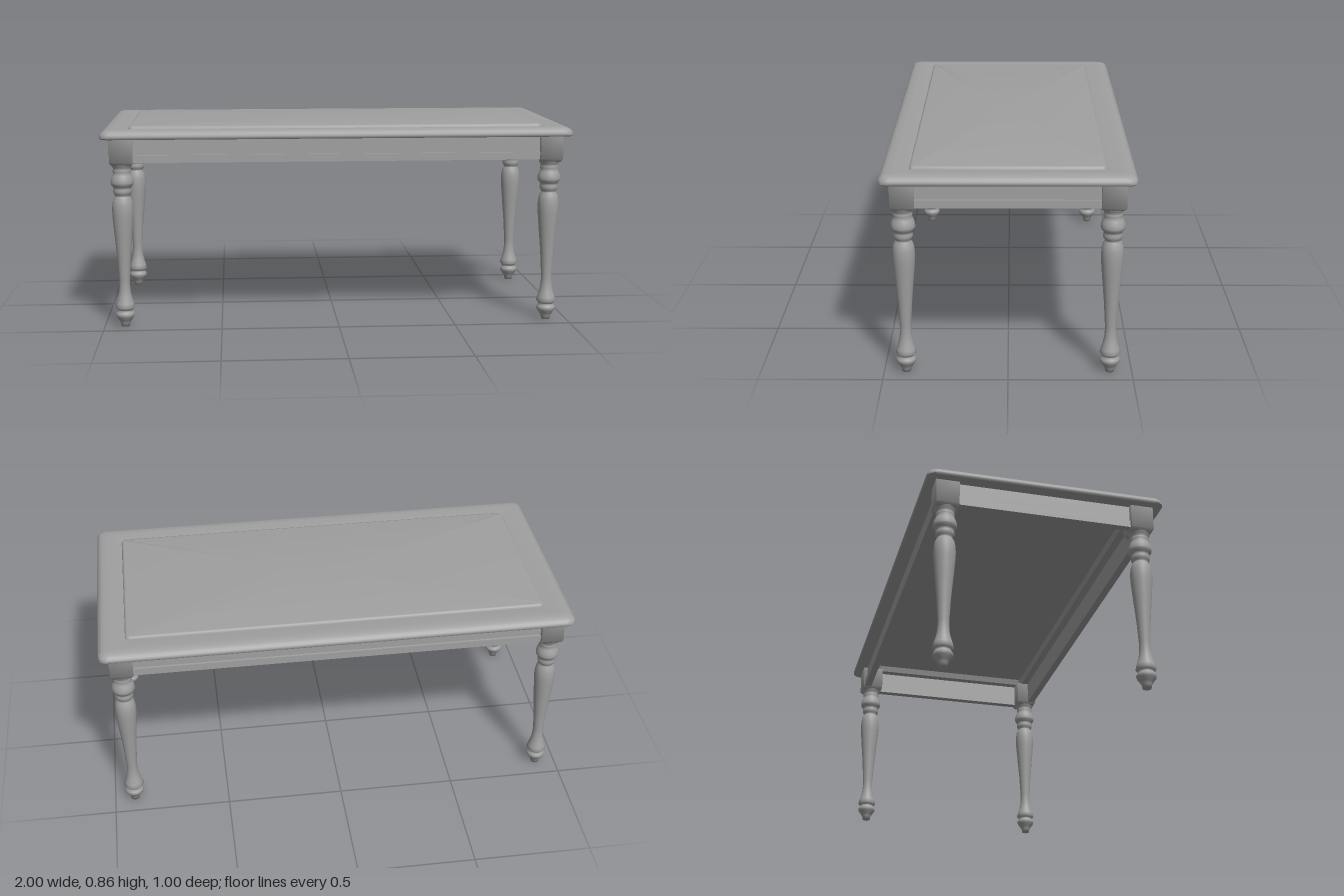
import * as THREE from 'three';
import { toCreasedNormals } from 'three/addons/utils/BufferGeometryUtils.js';

const material = new THREE.MeshStandardMaterial({ color: 0xa0a0a0 });
const LEG_X = 0.913, LEG_Z = 0.411;

function add(parent, name, geometry, x = 0, y = 0, z = 0) {
  const mesh = new THREE.Mesh(geometry, material);
  mesh.name = name;
  mesh.position.set(x, y, z);
  parent.add(mesh);
}

// Stacks rounded rectangles; each section is [halfX, halfZ, y, cornerRadius]
function loft(sections, steps, crease) {
  const positions = [], index = [];
  const n = 4 * (steps + 1);
  for (const [hx, hz, y, r] of sections) {
    for (let c = 0; c < 4; c++) {
      const sx = c === 0 || c === 3 ? 1 : -1, sz = c < 2 ? 1 : -1;
      for (let i = 0; i <= steps; i++) {
        const a = (c + i / steps) * Math.PI / 2;
        positions.push(sx * (hx - r) + r * Math.cos(a), y, sz * (hz - r) + r * Math.sin(a));
      }
    }
  }
  for (let s = 0; s < sections.length - 1; s++) {
    for (let i = 0; i < n; i++) {
      const a = s * n + i, b = s * n + (i + 1) % n;
      index.push(a, a + n, b, b, a + n, b + n);
    }
  }
  const geometry = new THREE.BufferGeometry();
  geometry.setAttribute('position', new THREE.Float32BufferAttribute(positions, 3));
  geometry.setIndex(index);
  return toCreasedNormals(geometry, crease);
}

// Table top: recessed underside, softly rounded rim, groove and raised panel
function tableTop() {
  const profile = [ // inset from the outer edge, height, corner radius
    [0.122, 0.836, 0.015], [0.113, 0.81, 0.02],
    [0.006, 0.81, 0.035], [0, 0.815, 0.04], [0, 0.823, 0.04],
    [0.003, 0.831, 0.038], [0.009, 0.838, 0.035], [0.017, 0.843, 0.03], [0.028, 0.847, 0.026],
    [0.055, 0.849, 0.022], [0.114, 0.843, 0.02],
    [0.116, 0.85, 0.02], [0.119, 0.854, 0.018], [0.125, 0.855, 0.015],
  ];
  const rings = profile.map(([inset, y, r]) => [1 - inset, 0.5 - inset, y, r]);
  return loft([[0, 0, 0.836, 0], ...rings, [0, 0, 0.855, 0]], 6, 0.9);
}

// Turned leg outline: radius, height
const legProfile = [
  [0, 0], [0.018, 0], [0.02, 0.015], [0.028, 0.028], [0.038, 0.042], [0.041, 0.052],
  [0.038, 0.06], [0.03, 0.068], [0.034, 0.074], [0.042, 0.083], [0.038, 0.1], [0.03, 0.125],
  [0.025, 0.15], [0.023, 0.175], [0.023, 0.2], [0.029, 0.3], [0.038, 0.4],
  [0.044, 0.47], [0.045, 0.5], [0.044, 0.525], [0.04, 0.548], [0.032, 0.562], [0.031, 0.567],
  [0.036, 0.573], [0.039, 0.582], [0.038, 0.592], [0.036, 0.598], [0.04, 0.604], [0.047, 0.613],
  [0.049, 0.622], [0.047, 0.637], [0.041, 0.652], [0.036, 0.662], [0.039, 0.668],
  [0.038, 0.677], [0.036, 0.682], [0.041, 0.69], [0.045, 0.7],
].map(([r, y]) => new THREE.Vector2(r, y));

export function createModel() {
  const table = new THREE.Group();
  table.name = 'diningTable';

  add(table, 'tableTop', tableTop());

  // Legs with square corner blocks chamfered underneath
  const legGeometry = new THREE.LatheGeometry(legProfile, 32);
  const blockGeometry = loft([
    [0, 0, 0.697, 0], [0.04, 0.04, 0.697, 0.002], [0.049, 0.049, 0.708, 0.002],
    [0.049, 0.049, 0.812, 0.002], [0, 0, 0.812, 0],
  ], 1, 1.2);
  for (const sx of [-1, 1]) {
    for (const sz of [-1, 1]) {
      const leg = new THREE.Group();
      leg.name = (sz > 0 ? 'front' : 'back') + (sx > 0 ? 'Left' : 'Right') + 'Leg';
      leg.position.set(sx * LEG_X, 0, sz * LEG_Z);
      add(leg, 'turnedLeg', legGeometry);
      add(leg, 'cornerBlock', blockGeometry);
      table.add(leg);
    }
  }

  // Apron rails, each with a slightly proud lower band
  const lengthX = 2 * LEG_X - 0.07, lengthZ = 2 * LEG_Z - 0.07;
  for (const s of [-1, 1]) {
    const sideX = s > 0 ? 'left' : 'right', sideZ = s > 0 ? 'front' : 'back';
    add(table, sideZ + 'Apron', new THREE.BoxGeometry(lengthX, 0.072, 0.022), 0, 0.776, s * (LEG_Z + 0.019));
    add(table, sideZ + 'ApronBand', new THREE.BoxGeometry(lengthX, 0.032, 0.032), 0, 0.724, s * (LEG_Z + 0.024));
    add(table, sideX + 'Apron', new THREE.BoxGeometry(0.022, 0.072, lengthZ), s * (LEG_X + 0.019), 0.776, 0);
    add(table, sideX + 'ApronBand', new THREE.BoxGeometry(0.032, 0.032, lengthZ), s * (LEG_X + 0.024), 0.724, 0);
  }
  return table;
}
